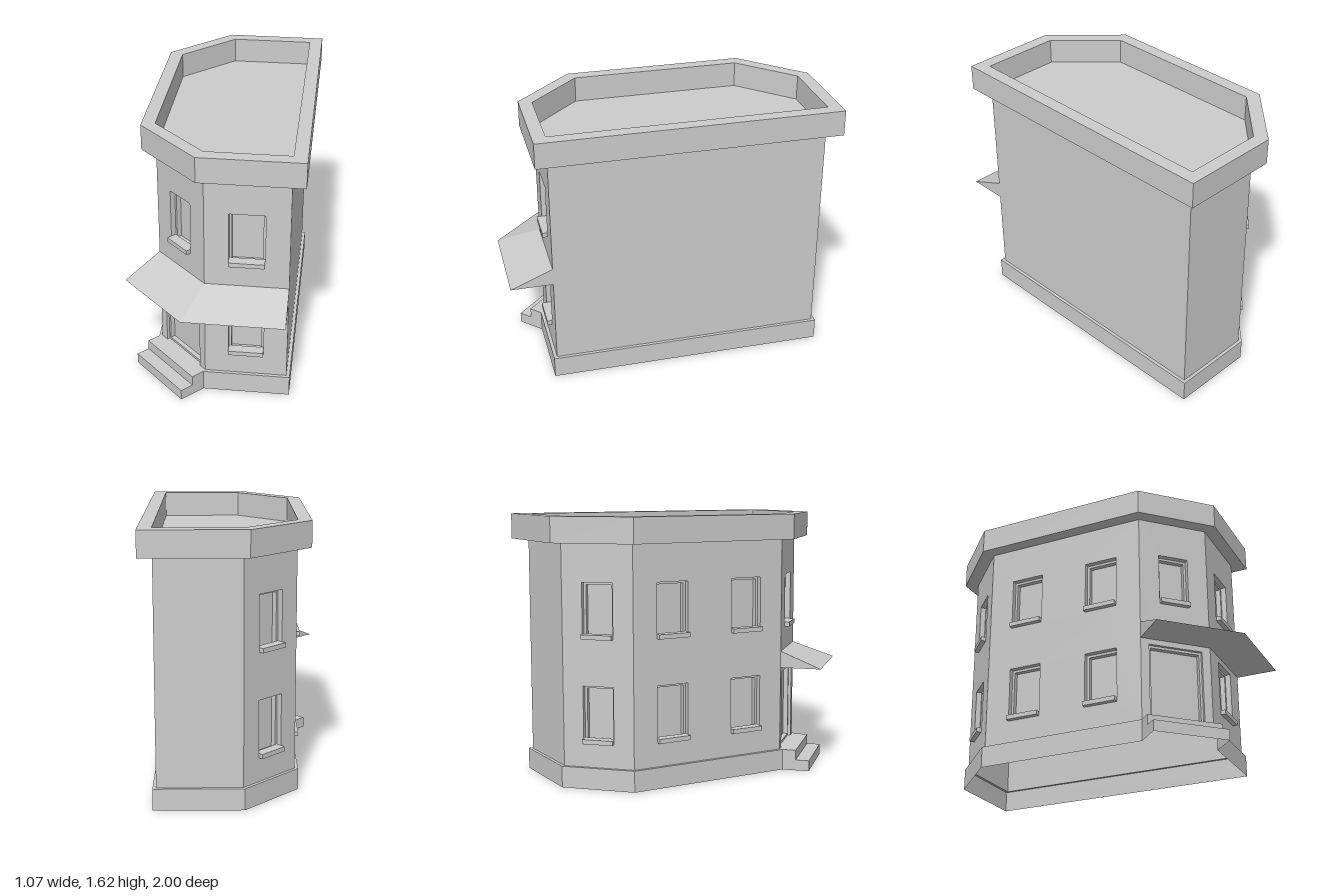
import * as THREE from 'three';

// The building is an open shell, so both sides of its surfaces show
const material = new THREE.MeshStandardMaterial({ color: 0xcccccc, flatShading: true, side: THREE.DoubleSide });

const WALL_BOTTOM = 0.13, WALL_TOP = 1.465, TOP = 1.62;
const PLINTH = 0.02, FRAME = 0.015;

// Footprint of the building, pushed outward by d, at height y
function footprint(d, y) {
  const k = d * Math.tan(Math.PI / 8);
  return [
    [0.454 + d, y, 0.745 + d], [0.454 + d, y, -0.92 - d],
    [-0.045 - k, y, -0.92 - d], [-0.356 - d, y, -0.609 - k],
    [-0.356 - d, y, 0.429 + k], [-0.04 - k, y, 0.745 + d],
  ];
}

// Triangle corners of the closed strip between two loops, six per edge
function band(a, b) {
  return a.flatMap((p, i) => {
    const j = (i + 1) % a.length;
    return [p, a[j], b[j], p, b[j], b[i]];
  });
}

// Strips through a series of loops
const bands = (loops) => loops.slice(1).flatMap((loop, i) => band(loops[i], loop));

function surface(triangles) {
  const geometry = new THREE.BufferGeometry();
  geometry.setAttribute('position', new THREE.Float32BufferAttribute(triangles.flat(), 3));
  geometry.computeVertexNormals();
  return geometry;
}

function add(parent, name, geometry) {
  const mesh = new THREE.Mesh(geometry, material);
  mesh.name = name;
  parent.add(mesh);
  return mesh;
}

const rectangle = (x0, x1, y0, y1) => [[x0, y0], [x1, y0], [x1, y1], [x0, y1]];
const toShape = (points) => new THREE.Shape(points.map(([x, y]) => new THREE.Vector2(x, y)));

// Recessed window or door: stepped frame, panel and optional sill
function addOpening(parent, { name, u, w, y0, y1, depth, sill }) {
  const group = new THREE.Group();
  group.name = name;
  parent.add(group);
  const x0 = u - w / 2, x1 = u + w / 2, back = -depth - 0.03;
  const outer = rectangle(x0, x1, y0, y1);
  const inner = rectangle(x0 + FRAME, x1 - FRAME, y0 + FRAME, y1 - FRAME);
  const at = (points, z) => points.map(([x, y]) => [x, y, z]);

  add(group, 'frame', surface(bands([at(outer, 0), at(outer, -depth), at(inner, -depth), at(inner, back)])));
  add(group, 'panel', new THREE.ShapeGeometry(toShape(inner))).position.z = back;

  if (sill) {
    const mesh = add(group, 'sill', new THREE.BoxGeometry(w, 0.028, depth + 0.03));
    mesh.position.set(u, y0 + 0.014, (0.03 - depth) / 2);
  }
}

const lowerWindow = (u, w) => ({ name: 'lowerWindow', u, w, y0: 0.276, y1: 0.62, depth: 0.033, sill: true });
const upperWindow = (u, w) => ({ name: 'upperWindow', u, w, y0: 0.902, y1: 1.235, depth: 0.033, sill: true });
const windowPair = (u, w) => [lowerWindow(u, w), upperWindow(u, w)];
const door = { name: 'door', u: 0, w: 0.34, y0: WALL_BOTTOM, y1: 0.62, depth: 0.018, sill: false };

// Walls in footprint order
const ENTRANCE = 4;
const FACADES = [
  { name: 'leftWall', openings: [] },
  { name: 'backWall', openings: [] },
  { name: 'backCornerWall', openings: windowPair(0, 0.19) },
  { name: 'rightWall', openings: [...windowPair(-0.2575, 0.21), ...windowPair(0.2575, 0.21)] },
  { name: 'entranceWall', openings: [door, upperWindow(0, 0.19)] },
  { name: 'frontWall', openings: windowPair(0, 0.21) },
];

// Open stair: treads and risers between two side faces
function addSteps(parent, width) {
  const group = new THREE.Group();
  group.name = 'steps';
  parent.add(group);
  const half = width / 2 + PLINTH * Math.tan(Math.PI / 8);
  const profile = [[PLINTH, WALL_BOTTOM], [0.105, WALL_BOTTOM], [0.105, 0.067], [0.19, 0.067], [0.19, 0]];
  const edge = (x) => profile.map(([z, y]) => [x, y, z]);
  add(group, 'treadsAndRisers', surface(band(edge(-half), edge(half)).slice(0, -6)));
  for (const x of [-half, half]) {
    const side = add(group, 'stepSide', new THREE.ShapeGeometry(toShape([...profile, [PLINTH, 0]])));
    side.rotation.y = -Math.PI / 2;
    side.position.x = x;
  }
}

function addFacade(parent, { name, openings }, p, q) {
  const dx = q[0] - p[0], dz = q[2] - p[2], width = Math.hypot(dx, dz);
  const group = new THREE.Group();
  group.name = name;
  group.position.set((p[0] + q[0]) / 2, 0, (p[2] + q[2]) / 2);
  group.rotation.y = Math.atan2(-dz, dx);
  parent.add(group);

  const shape = toShape(rectangle(-width / 2, width / 2, WALL_BOTTOM - 0.002, WALL_TOP));
  for (const o of openings) {
    shape.holes.push(toShape(rectangle(o.u - o.w / 2, o.u + o.w / 2, o.y0, o.y1)));
    addOpening(group, o);
  }
  add(group, 'wall', new THREE.ShapeGeometry(shape));
  if (openings.includes(door)) addSteps(group, width);
}

// Wedge-shaped awning wrapping the front and the entrance corner
function addAwning(parent) {
  const yTop = 0.76, yLow = 0.655;
  const stations = [
    [[0.454, 0.745], [0.454, 1]],
    [[-0.04, 0.745], [-0.146, 1]],
    [[-0.356, 0.429], [-0.536, 0.609]],
  ].map(([w, o]) => [[w[0], yTop, w[1]], [w[0], yLow, w[1]], [o[0], yLow, o[1]]]);
  const [a, , c] = stations;
  add(parent, 'awning', surface([...bands(stations), a[2], a[1], a[0], ...c]));
}

export function createModel() {
  const model = new THREE.Group();
  model.name = 'cornerBuilding';

  // Plinth with its ledge, left open behind the steps
  const plinthSides = band(footprint(PLINTH, 0), footprint(PLINTH, WALL_BOTTOM));
  plinthSides.splice(ENTRANCE * 6, 6);
  add(model, 'plinth', surface(plinthSides));
  add(model, 'plinthLedge', surface(band(footprint(PLINTH, WALL_BOTTOM), footprint(0, WALL_BOTTOM))));

  // Walls with their windows, door and steps
  const corners = footprint(0, 0);
  FACADES.forEach((facade, i) => addFacade(model, facade, corners[i], corners[(i + 1) % corners.length]));

  addAwning(model);

  // Parapet: underside, outer face, top rim and inner face
  const rings = [[0, WALL_TOP], [0.08, WALL_TOP], [0.08, TOP], [0, TOP], [0, WALL_TOP]];
  add(model, 'parapet', surface(bands(rings.map(([d, y]) => footprint(d, y)))));

  // Flat roof
  const roof = add(model, 'roof', new THREE.ShapeGeometry(toShape(corners.map(([x, , z]) => [x, -z]))));
  roof.rotation.x = -Math.PI / 2;
  roof.position.y = WALL_TOP;

  return model;
}
